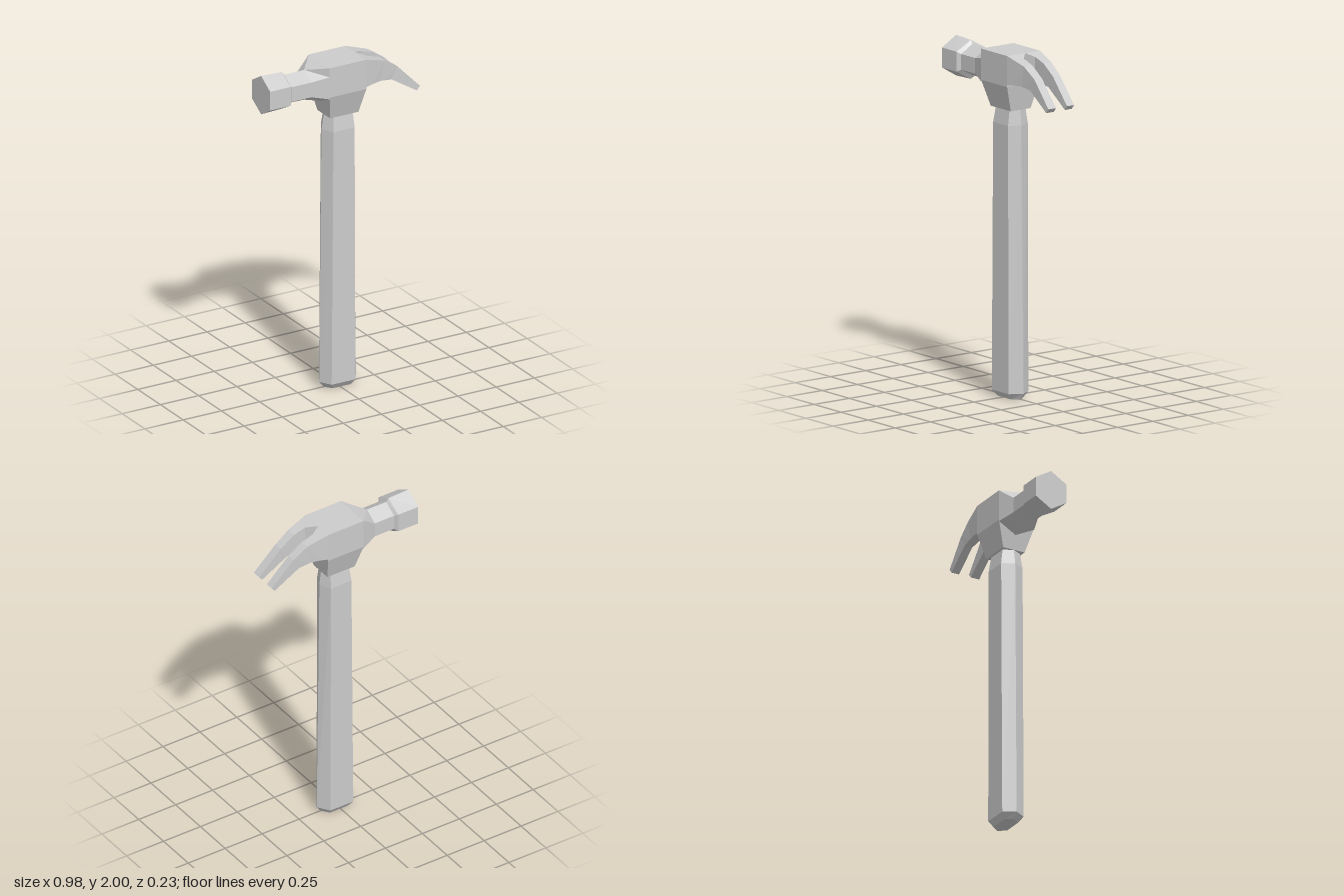
import * as THREE from 'three';

const material = new THREE.MeshStandardMaterial({ color: 0xcccccc, flatShading: true });

// Closed solid through rings of equal point count, with fan caps; faces always point outward.
function loft(name, rings) {
  const tris = [];
  const n = rings[0].length;
  for (let r = 0; r < rings.length - 1; r++) {
    for (let i = 0; i < n; i++) {
      const j = (i + 1) % n;
      const a = rings[r][i], b = rings[r][j], c = rings[r + 1][j], d = rings[r + 1][i];
      tris.push([a, b, c], [a, c, d]);
    }
  }
  const last = rings[rings.length - 1];
  for (let i = 1; i < n - 1; i++) {
    tris.push([rings[0][0], rings[0][i + 1], rings[0][i]], [last[0], last[i], last[i + 1]]);
  }
  const solid = tris
    .map((t) => t.map((p) => new THREE.Vector3(...p)))
    .filter(([a, b, c]) => new THREE.Triangle(a, b, c).getArea() > 1e-7);
  const volume = solid.reduce((sum, [a, b, c]) => sum + a.dot(b.clone().cross(c)), 0);
  const points = solid.flatMap(([a, b, c]) => (volume < 0 ? [a, c, b] : [a, b, c]));
  const geometry = new THREE.BufferGeometry().setFromPoints(points);
  geometry.computeVertexNormals();
  const mesh = new THREE.Mesh(geometry, material);
  mesh.name = name;
  return mesh;
}

// Horizontal rectangle for the head block
const rect = (y, x0, x1, z) => [[x0, y, z], [x1, y, z], [x1, y, -z], [x0, y, -z]];

// Horizontal six-sided handle section with ridges on its left and right
const handleRing = (y, x0, x1, f0, f1, z) => [
  [x0, y, 0], [f0, y, z], [f1, y, z], [x1, y, 0], [f1, y, -z], [f0, y, -z],
];

// Upright section of the striking end: the top ridge is doubled so it can widen into the block
const pollRing = (x, top, high, low, bottom, z, topZ = 0, bottomX = x) => [
  [x, top, topZ], [x, high, z], [x, low, z], [bottomX, bottom, 0],
  [x, low, -z], [x, high, -z], [x, top, -topZ],
];

// One claw prong: top and bottom profile stations with outer and inner z
function prong(name, outer, inner) {
  const top = [[0.13, 2], [0.185, 1.983], [0.26, 1.96], [0.35, 1.9], [0.49, 1.755]];
  const bottom = [[0.13, 1.83], [0.18, 1.838], [0.235, 1.84], [0.31, 1.83], [0.47, 1.73]];
  return loft(name, top.map(([tx, ty], i) => {
    const [bx, by] = bottom[i];
    return [[tx, ty, outer[i]], [tx, ty, inner[i]], [bx, by, inner[i]], [bx, by, outer[i]]];
  }));
}

export function createModel() {
  const model = new THREE.Group();
  model.name = 'clawHammer';

  // Handle with bevelled butt and narrowed neck
  model.add(loft('handle', [
    handleRing(0, -0.08, 0.105, -0.05, 0.07, 0.045),
    handleRing(0.035, -0.11, 0.13, -0.07, 0.085, 0.07),
    handleRing(1.58, -0.095, 0.112, -0.058, 0.08, 0.07),
    handleRing(1.68, -0.078, 0.1, -0.05, 0.075, 0.055),
  ]));

  const head = new THREE.Group();
  head.name = 'head';

  // Central block tapering down to the handle socket
  head.add(loft('headBlock', [
    rect(1.67, -0.08, 0.105, 0.07),
    rect(1.82, -0.11, 0.13, 0.115),
    rect(2, -0.11, 0.13, 0.115),
  ]));

  // Striking face, neck and transition into the block
  head.add(loft('strikingEnd', [
    pollRing(-0.49, 1.995, 1.935, 1.82, 1.76, 0.1),
    pollRing(-0.355, 1.99, 1.935, 1.82, 1.765, 0.1),
    pollRing(-0.34, 1.97, 1.922, 1.832, 1.79, 0.08),
    pollRing(-0.21, 1.97, 1.922, 1.832, 1.788, 0.08),
    pollRing(-0.11, 2, 1.945, 1.81, 1.755, 0.115, 0.115, -0.098),
  ]));

  // Split claw curving down
  head.add(prong('frontProng', [0.115, 0.107, 0.096, 0.09, 0.099], [-0.012, 0.037, 0.037, 0.037, 0.045]));
  head.add(prong('backProng', [-0.115, -0.107, -0.097, -0.091, -0.082], [-0.012, -0.042, -0.042, -0.041, -0.033]));

  model.add(head);
  return model;
}
